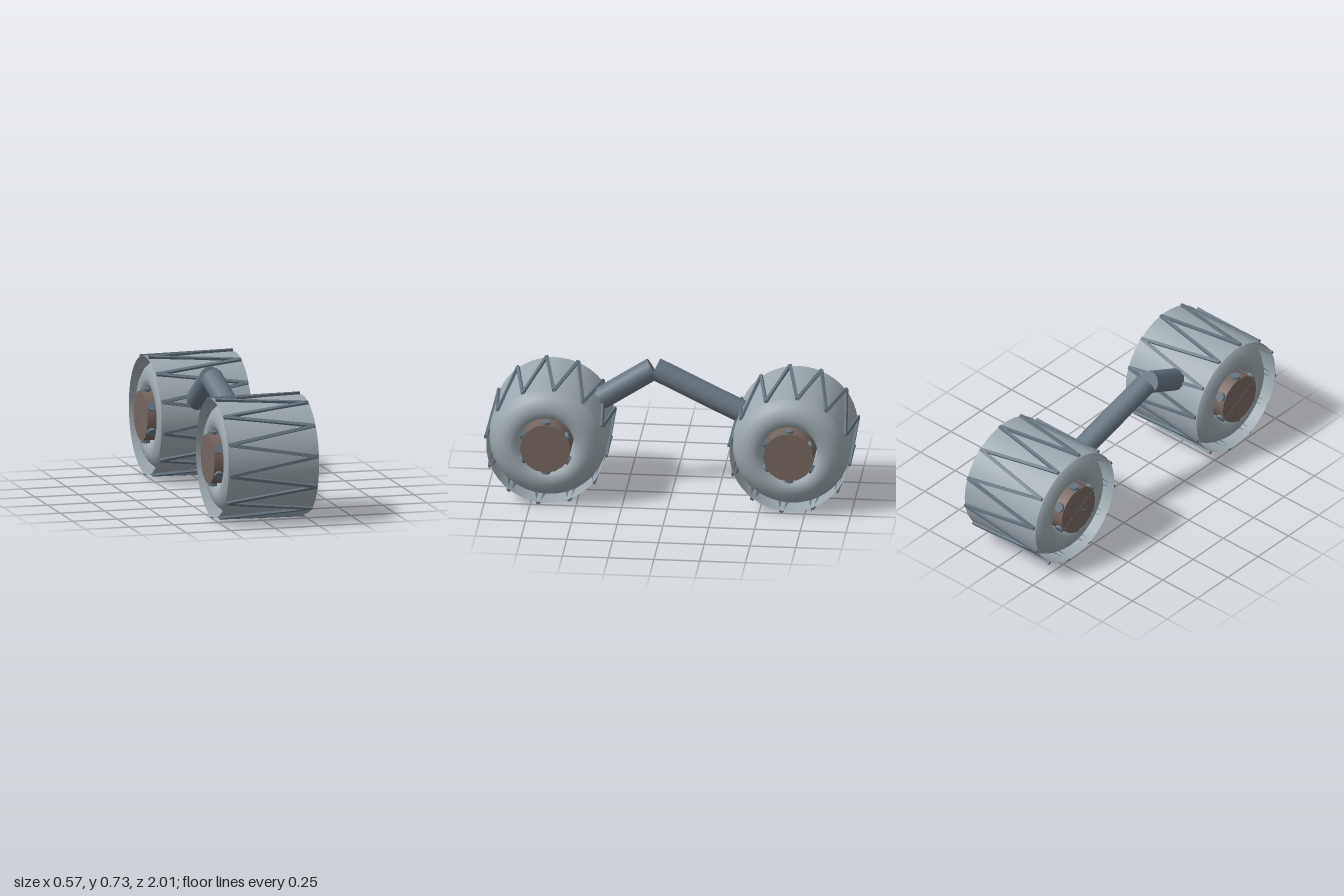
import * as THREE from 'three';

const material = (name, color) => {
  const m = new THREE.MeshStandardMaterial({ color });
  m.name = name;
  return m;
};

export function createModel() {
  const drumGrey = material('light grey', 0x9ca8ae);
  drumGrey.side = THREE.DoubleSide;
  const steel = material('blue grey', 0x667580);
  const brown = material('brown', 0x75655e);

  const add = (parent, name, geometry, mat) => {
    const mesh = new THREE.Mesh(geometry, mat);
    mesh.name = name;
    parent.add(mesh);
    return mesh;
  };

  const AXLE_Y = 0.338, AXLE_Z = 0.664, MID_X = -0.003;

  // Bulging core: half profile mirrored and turned about the axle
  const half = [[0.148, 0.19], [0.154, 0.222], [0.17, 0.24], [0.2, 0.248], [0.235, 0.243],
    [0.27, 0.222], [0.3, 0.185], [0.318, 0.14], [0.322, 0.1]];
  const profile = [
    ...half.map(([r, x]) => new THREE.Vector2(r, -x)),
    ...half.slice().reverse().map(([r, x]) => new THREE.Vector2(r, x)),
    new THREE.Vector2(half[0][0], -half[0][1]),
  ];
  const coreGeo = new THREE.LatheGeometry(profile, 48).rotateZ(-Math.PI / 2);
  const shellGeo = new THREE.CylinderGeometry(0.325, 0.325, 0.511, 48, 1, true).rotateZ(Math.PI / 2);
  const hubGeo = new THREE.CylinderGeometry(0.138, 0.138, 0.57, 16).rotateZ(Math.PI / 2);
  const boltGeo = new THREE.CylinderGeometry(0.025, 0.025, 0.03, 12);
  const barGeo = new THREE.BoxGeometry(0.505, 0.017, 0.014);
  const spokeGeo = new THREE.BoxGeometry(0.002, 0.27, 0.004);

  function makeWheel(name, z) {
    const wheel = new THREE.Group();
    wheel.name = name;
    wheel.position.set(0, AXLE_Y, z);
    add(wheel, 'drumCore', coreGeo, drumGrey).position.x = MID_X;
    add(wheel, 'drumShell', shellGeo, drumGrey).position.x = MID_X;
    add(wheel, 'hub', hubGeo, brown);

    // Zigzag tread
    for (let i = 0; i < 24; i++) {
      const pivot = new THREE.Group();
      pivot.name = 'tread';
      pivot.rotation.x = -i * Math.PI / 12;
      const bar = add(pivot, 'treadBar', barGeo, steel);
      bar.position.set(MID_X, 0, 0.33);
      bar.rotation.z = i % 2 ? -0.172 : 0.172;
      wheel.add(pivot);
    }

    // Radial bolts around both ends of the hub
    for (const side of [-1, 1]) {
      for (let i = 0; i < 6; i++) {
        const a = i * Math.PI / 3;
        const bolt = add(wheel, 'hubBolt', boltGeo, steel);
        bolt.position.set(side * 0.257, 0.135 * Math.cos(a), 0.135 * Math.sin(a));
        bolt.rotation.x = a;
      }
    }

    // Fine spokes on one hub face
    for (let i = 0; i < 3; i++) {
      const spoke = add(wheel, 'hubSpoke', spokeGeo, steel);
      spoke.position.x = -0.285;
      spoke.rotation.x = i * Math.PI / 3;
    }
    return wheel;
  }

  // Round arm between two points
  function makeArm(parent, name, from, to) {
    const a = new THREE.Vector3(...from), b = new THREE.Vector3(...to);
    const dir = b.clone().sub(a);
    const arm = add(parent, name, new THREE.CylinderGeometry(0.062, 0.062, dir.length(), 12), steel);
    arm.position.copy(a).add(b).multiplyScalar(0.5);
    arm.quaternion.setFromUnitVectors(new THREE.Vector3(0, 1, 0), dir.normalize());
  }

  const model = new THREE.Group();
  model.name = 'twoWheeledLinkage';
  model.add(makeWheel('frontWheel', AXLE_Z), makeWheel('rearWheel', -AXLE_Z));
  makeArm(model, 'frontArm', [-0.105, 0.677, 0.115], [-0.035, 0.45, 0.5]);
  makeArm(model, 'rearArm', [-0.105, 0.677, 0.1], [-0.037, 0.427, -0.47]);
  return model;
}
